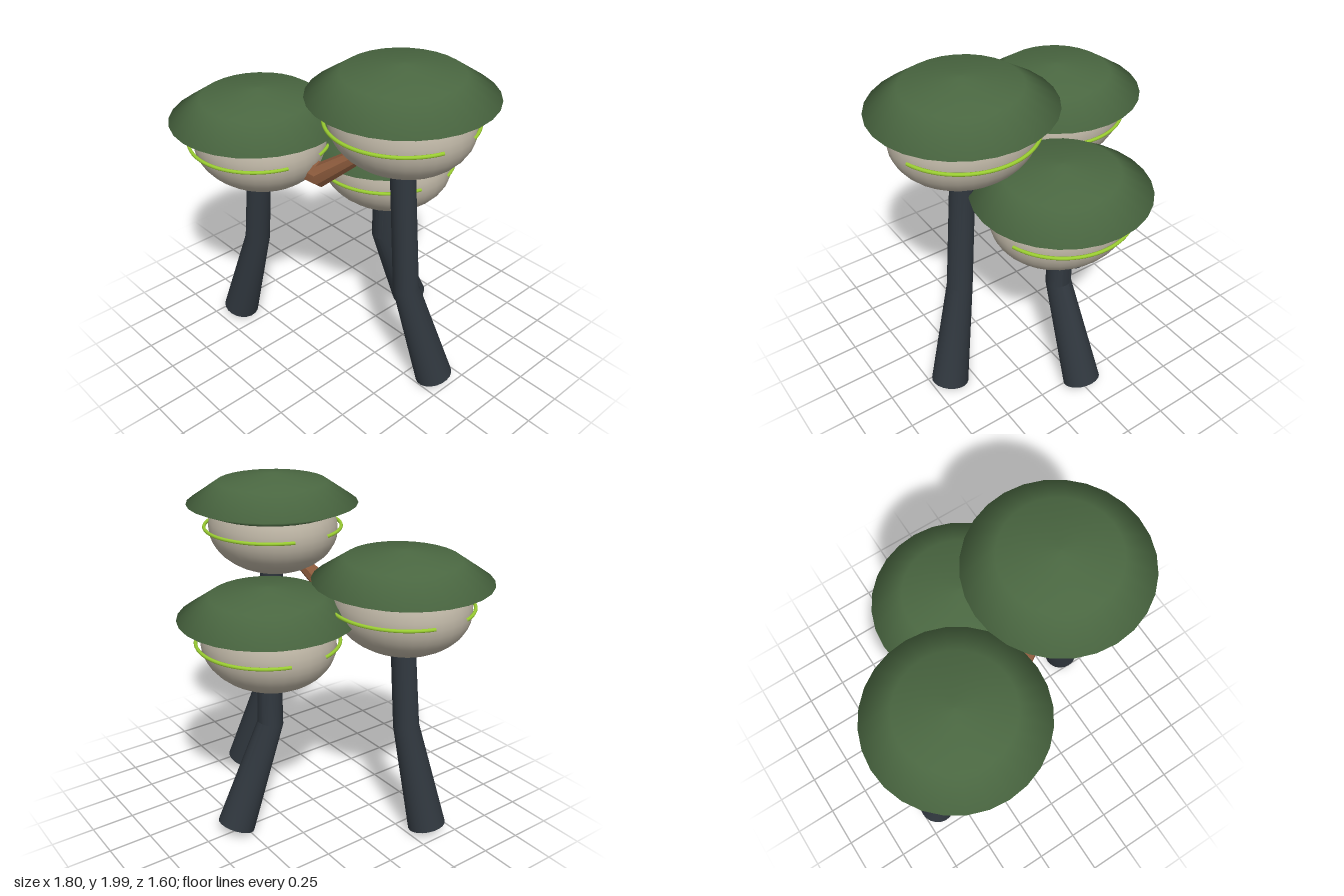
import * as THREE from 'three';
import { toCreasedNormals } from 'three/addons/utils/BufferGeometryUtils.js';

const material = (name, color) => {
  const m = new THREE.MeshStandardMaterial({ color });
  m.name = name;
  return m;
};

// Tapered limb with one bend: stations run from top to bottom as [x, y, z, radius]
function limbGeometry(stations, sides) {
  const points = stations.map(([x, y, z]) => new THREE.Vector3(x, y, z));
  const up = new THREE.Vector3(0, 1, 0);
  const upper = points[0].clone().sub(points[1]).normalize();
  const lower = points[1].clone().sub(points[2]).normalize();
  const directions = [upper, upper.clone().add(lower).normalize(), lower];
  const turns = directions.map((d) => new THREE.Quaternion().setFromUnitVectors(up, d));

  const geometry = new THREE.CylinderGeometry(1, 1, 1, sides, 2);
  const position = geometry.attributes.position;
  const v = new THREE.Vector3();
  for (let i = 0; i < position.count; i++) {
    v.fromBufferAttribute(position, i);
    const row = Math.round((0.5 - v.y) * 2);
    v.setY(0).multiplyScalar(stations[row][3]).applyQuaternion(turns[row]).add(points[row]);
    position.setXYZ(i, v.x, v.y, v.z);
  }
  return toCreasedNormals(geometry, 0.42);
}

export function createModel() {
  const group = new THREE.Group();
  group.name = 'podCluster';

  const green = material('mossGreen', 0x4a6741);
  const cream = material('warmStone', 0xb8b0a0);
  const slate = material('darkSlate', 0x2f363d);
  const lime = material('lime', 0x9acd32);
  const brown = material('wood', 0x8b5a3c);

  const add = (parent, name, geometry, mat) => {
    const mesh = new THREE.Mesh(geometry, mat);
    mesh.name = name;
    parent.add(mesh);
    return mesh;
  };

  // Shared pod parts, measured from the widest level of the pod
  const capProfile = [[0, 0.1], [0.37, 0.1], [0.497, 0.15], [0.318, 0.27], [0.05, 0.317], [0, 0.32]]
    .map(([r, y]) => new THREE.Vector2(r, y));
  const capGeometry = new THREE.LatheGeometry(capProfile, 28);
  const bodyGeometry = new THREE.SphereGeometry(1, 32, 20).scale(0.405, 0.262, 0.367);
  const arc = 2.6;
  const bandGeometry = new THREE.TorusGeometry(0.4, 0.01, 8, 32, arc)
    .rotateZ((Math.PI - arc) / 2)
    .rotateX(Math.PI / 2);

  // Each pod stands on one bent leg
  const pods = [
    { name: 'tallPod', at: [0.405, 1.68, 0],
      leg: [[0.407, 1.66, 0, 0.068], [0.487, 0.66, 0, 0.075], [0.652, 0.043, -0.1, 0.11]] },
    { name: 'middlePod', at: [-0.405, 1.37, 0.305],
      leg: [[-0.407, 1.35, 0.308, 0.068], [-0.488, 0.66, 0.308, 0.075], [-0.652, 0.048, 0.36, 0.11]] },
    { name: 'lowPod', at: [0, 1.17, -0.305],
      leg: [[0, 1.15, -0.303, 0.068], [0, 0.66, -0.303, 0.075], [0, 0.05, -0.557, 0.11]] },
  ];
  for (const { name, at, leg } of pods) {
    const pod = new THREE.Group();
    pod.name = name;
    pod.position.set(...at);
    add(pod, 'body', bodyGeometry, cream);
    add(pod, 'cap', capGeometry, green);
    add(pod, 'frontBand', bandGeometry, lime).position.y = 0.01;
    const back = add(pod, 'backBand', bandGeometry, lime);
    back.position.y = 0.01;
    back.rotation.y = Math.PI;
    group.add(pod);
    add(group, name + 'Leg', limbGeometry(leg, 20), slate);
  }

  // Bent branch linking the tall pod to the middle pod
  add(group, 'branch', limbGeometry(
    [[0.38, 1.58, 0.05, 0.025], [0.01, 1.278, 0.21, 0.071], [-0.38, 1.35, 0.3, 0.085]], 8), brown);

  return group;
}
